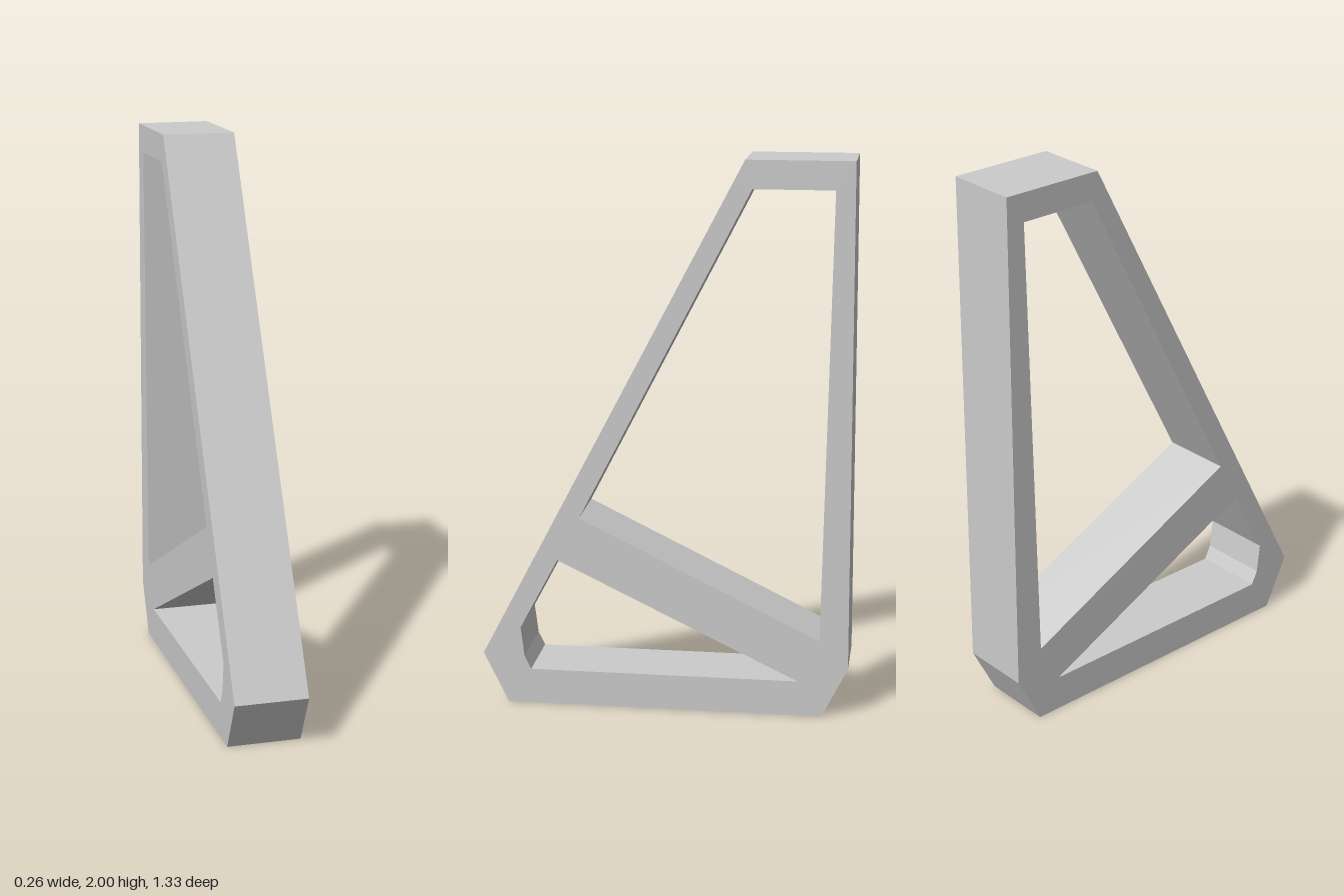
import * as THREE from 'three';

const WIDTH = 0.264;

// Side profile points are [z, y]
const outline = [
  [0.575, 0], [0.666, 0.185], [-0.28, 2], [-0.657, 2], [-0.666, 0.185], [-0.573, 0],
];
const upperOpening = [
  [-0.305, 1.9], [-0.59, 1.9], [-0.562, 0.285], [0.307, 0.71],
];
const lowerOpening = [
  [0.388, 0.55], [-0.485, 0.13], [0.49, 0.13], [0.514, 0.18], [0.527, 0.288],
];

const toVectors = (points) => points.map(([z, y]) => new THREE.Vector2(z, y));

export function createModel() {
  const group = new THREE.Group();
  group.name = 'wedgeFrame';

  // Wedge-shaped frame; the bar between the two openings is the cross brace
  const profile = new THREE.Shape(toVectors(outline));
  for (const opening of [upperOpening, lowerOpening]) {
    profile.holes.push(new THREE.Path(toVectors(opening)));
  }

  // Extrude across the width, then turn so the profile lies in the z-y plane
  const geometry = new THREE.ExtrudeGeometry(profile, { depth: WIDTH, bevelEnabled: false });
  geometry.translate(0, 0, -WIDTH / 2);
  geometry.rotateY(-Math.PI / 2);

  const material = new THREE.MeshStandardMaterial({ color: 0xcccccc, flatShading: true });
  const frame = new THREE.Mesh(geometry, material);
  frame.name = 'bracedFrame';
  group.add(frame);

  return group;
}
